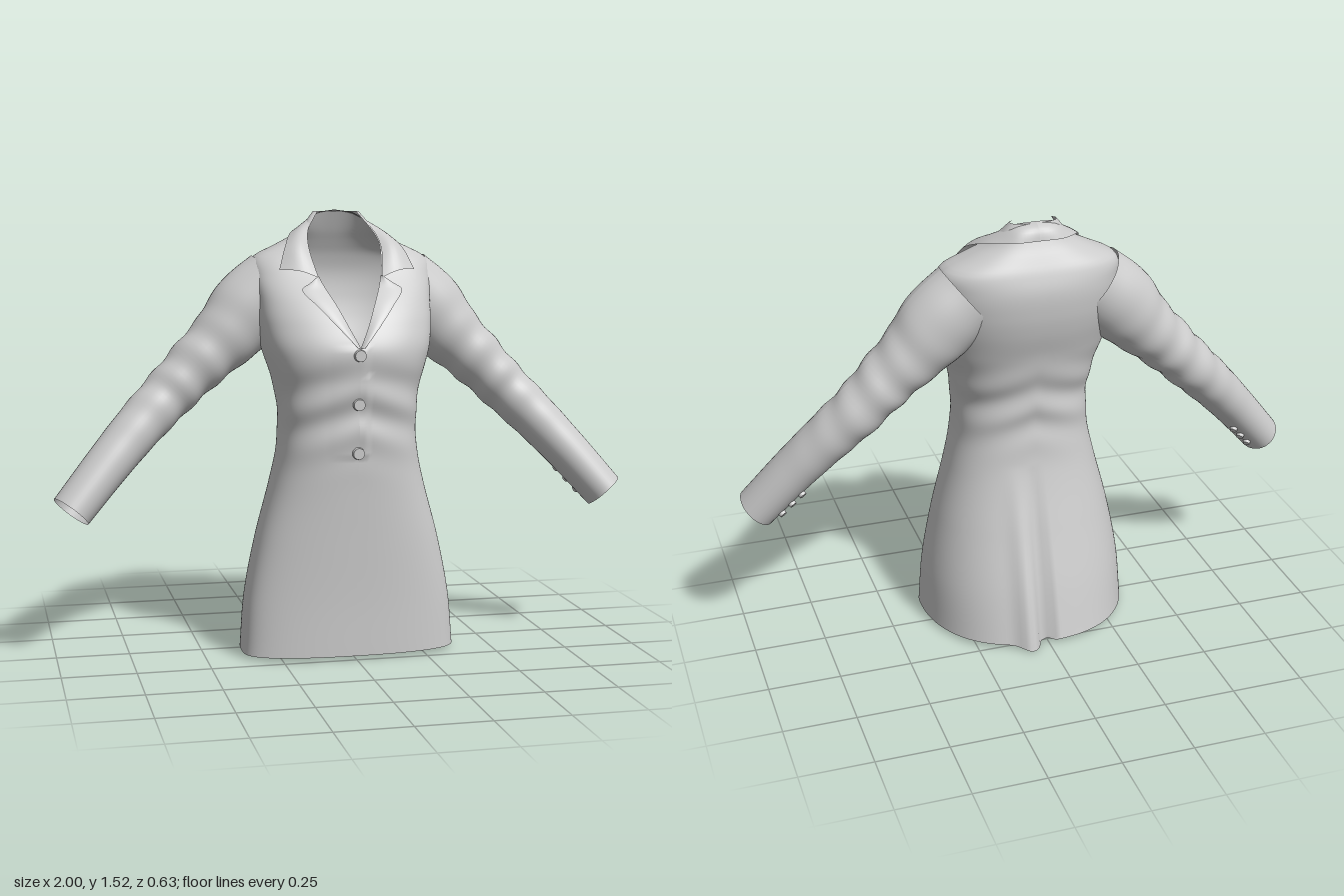
import * as THREE from 'three';

const material = new THREE.MeshStandardMaterial({ color: 0xcccccc, side: THREE.DoubleSide });
const gauss = (d, s) => Math.exp(-(d * d) / (s * s));

// Smooth lookup in rows of [key, value, value, ...]
function sample(table, key, col) {
  const n = table.length - 1;
  let i = 0;
  while (i < n - 1 && key > table[i + 1][0]) i++;
  const slope = (k) => {
    const a = table[Math.max(k - 1, 0)], b = table[Math.min(k + 1, n)];
    return (b[col] - a[col]) / (b[0] - a[0]);
  };
  const [a, b] = [table[i], table[i + 1]];
  const h = b[0] - a[0];
  const t = THREE.MathUtils.clamp((key - a[0]) / h, 0, 1), t2 = t * t, t3 = t2 * t;
  return a[col] * (2 * t3 - 3 * t2 + 1) + b[col] * (3 * t2 - 2 * t3)
    + h * (slope(i) * (t3 - 2 * t2 + t) + slope(i + 1) * (t3 - t2));
}

// Surface from point(u, v): v runs along the rows, u across them
function sheet(name, point, rows, cols, flip = false) {
  const pos = [], idx = [];
  for (let i = 0; i <= rows; i++)
    for (let j = 0; j <= cols; j++) pos.push(...point(j / cols, i / rows));
  for (let i = 0; i < rows; i++)
    for (let j = 0; j < cols; j++) {
      const a = i * (cols + 1) + j, b = a + 1, c = b + cols + 1, d = c - 1;
      if (flip) idx.push(a, c, b, a, d, c);
      else idx.push(a, b, c, a, c, d);
    }
  const g = new THREE.BufferGeometry();
  g.setAttribute('position', new THREE.Float32BufferAttribute(pos, 3));
  g.setIndex(idx);
  g.computeVertexNormals();
  const mesh = new THREE.Mesh(g, material);
  mesh.name = name;
  return mesh;
}

// Body sections: height, half width, front z, back z, z of widest point
const body = [
  [0.015, 0.372, 0.248, -0.285, 0.09], [0.2, 0.357, 0.25, -0.24, 0.08],
  [0.4, 0.318, 0.258, -0.185, 0.07], [0.6, 0.265, 0.268, -0.135, 0.06],
  [0.72, 0.24, 0.275, -0.118, 0.06], [0.85, 0.236, 0.28, -0.115, 0.06],
  [0.95, 0.252, 0.288, -0.13, 0.05], [1.06, 0.285, 0.298, -0.155, 0.03],
  [1.15, 0.3, 0.262, -0.182, 0], [1.22, 0.305, 0.215, -0.196, -0.02],
  [1.3, 0.312, 0.14, -0.2, -0.03], [1.365, 0.3, 0.085, -0.185, -0.045],
  [1.41, 0.215, 0.05, -0.165, -0.05], [1.45, 0.142, 0.01, -0.145, -0.06],
  [1.52, 0.08, -0.06, -0.115, -0.085],
];
// Neck opening: height, half gap
const neck = [[1.07, 0], [1.13, 0.03], [1.2, 0.062], [1.3, 0.108], [1.4, 0.126], [1.45, 0.115], [1.52, 0.068]];
const gap = (y) => (y <= 1.07 ? 0 : Math.max(0, sample(neck, y, 1)));
const XP = 0.85, FRONT = 0.62, BACK = 0.95;

function frontZ(x, y) {
  const s = Math.min(1, Math.abs(x) / sample(body, y, 1)) ** (1 / XP);
  const zc = sample(body, y, 4);
  return zc + (sample(body, y, 2) - zc) * Math.sqrt(1 - s * s) ** FRONT;
}

function bodyPoint(u, v) {
  let y = 0.015 + v * 1.505;
  const w = sample(body, y, 1), zc = sample(body, y, 4);
  const start = Math.asin(Math.min(0.99, gap(y) / w) ** (1 / XP));
  const a = start + u * (2 * Math.PI - 2 * start);
  const s = Math.sin(a), c = Math.cos(a);
  const x = w * Math.sign(s) * Math.abs(s) ** XP;
  let z = c > 0 ? zc + (sample(body, y, 2) - zc) * c ** FRONT
    : zc + (sample(body, y, 3) - zc) * (-c) ** BACK;
  // soft drag folds at the waist
  z += 0.007 * Math.sin(y * 42 + Math.abs(x) * 16) * gauss(y - 0.86, 0.13);
  if (c < 0) {
    // back vent: one edge sinks, the other kicks out
    const k = Math.max(0, 1 - y / 0.64);
    z += k * (0.05 * gauss(x - 0.012, 0.016) - 0.035 * gauss(x - 0.075, 0.035));
    y -= 0.015 * k ** 6 * gauss(x - 0.06, 0.05);
  } else if (y > 0.7 && y < 1.07 && x < 0.03 && x > -0.1) {
    z += 0.007 * (x + 0.1) / 0.13; // overlapping front edge
  }
  return [x, y, z];
}

// Sleeve: centre line, then [t, in-plane radius, depth radius]
const sleeveLine = new THREE.CatmullRomCurve3([
  [0.22, 1.265, -0.045], [0.3, 1.2, -0.045], [0.4, 1.095, -0.04], [0.5, 1.0, -0.035],
  [0.6, 0.9, -0.03], [0.71, 0.79, 0.0], [0.82, 0.67, 0.04], [0.945, 0.525, 0.085],
].map((p) => new THREE.Vector3(...p)));
const sleeveSize = [[0, 0.135, 0.125], [0.13, 0.135, 0.12], [0.28, 0.108, 0.105],
  [0.45, 0.092, 0.095], [0.6, 0.085, 0.09], [0.8, 0.077, 0.086], [1, 0.071, 0.084]];

function sleevePoint(t, angle, lift = 0) {
  const p = sleeveLine.getPointAt(t), T = sleeveLine.getTangentAt(t);
  const U = new THREE.Vector3(-T.y, T.x, 0).normalize(), V = new THREE.Vector3().crossVectors(T, U);
  const fold = 1 + 0.04 * Math.sin(t * 55 + 2 * Math.sin(angle)) * gauss(t - 0.42, 0.2);
  const c = Math.cos(angle), s = Math.sin(angle);
  return p.addScaledVector(U, (sample(sleeveSize, t, 1) * fold + lift) * c)
    .addScaledVector(V, (sample(sleeveSize, t, 2) * fold + lift) * s);
}

function button(name, position, normal, radius) {
  const mesh = new THREE.Mesh(new THREE.CylinderGeometry(radius * 0.9, radius, 0.014, 20), material);
  mesh.name = name;
  mesh.position.copy(position);
  mesh.quaternion.setFromUnitVectors(new THREE.Vector3(0, 1, 0), normal);
  return mesh;
}

// Lapel outer edge: height, x
const lapelEdge = [[1.075, 0.012], [1.15, 0.078], [1.21, 0.13], [1.262, 0.172], [1.285, 0.14], [1.305, 0.113]];
// Collar edges from the front point to the centre back
const curve = (pts) => new THREE.CatmullRomCurve3(pts.map((p) => new THREE.Vector3(...p)));
const collarIn = curve([[0.11, 1.3, 0.15], [0.126, 1.4, 0.065], [0.112, 1.46, -0.01],
  [0.066, 1.512, -0.085], [0, 1.525, -0.11]]);
const collarOut = curve([[0.235, 1.325, 0.1], [0.205, 1.4, 0.045], [0.158, 1.452, -0.07],
  [0.085, 1.468, -0.145], [0, 1.472, -0.158]]);

export function createModel() {
  const coat = new THREE.Group();
  coat.name = 'coat';
  coat.add(sheet('body', bodyPoint, 130, 160));

  for (const side of [1, -1]) {
    const label = side > 0 ? 'left' : 'right', flip = side < 0;
    coat.add(sheet(label + 'Sleeve', (u, v) => {
      const p = sleevePoint(v, u * 2 * Math.PI);
      return [side * p.x, p.y, p.z];
    }, 70, 40, flip));

    coat.add(sheet(label + 'Lapel', (u, v) => {
      const y = 1.075 + v * 0.23, inner = gap(y) - 0.003;
      const x = inner + u * Math.max(0.003, sample(lapelEdge, y, 1) - inner);
      return [side * x, y, frontZ(x, y) + 0.006 + 0.012 * Math.sin(u * 2)];
    }, 40, 10, flip));

    coat.add(sheet(label + 'Collar', (u, v) => {
      const p = collarIn.getPoint(v).lerp(collarOut.getPoint(v), u);
      const puff = 0.018 * Math.sin(Math.PI * u); // roll of the fold
      const back = THREE.MathUtils.smoothstep(v, 0.3, 0.9);
      return [side * p.x, p.y + puff * 0.6, p.z + puff * (0.7 - 1.3 * back)];
    }, 30, 8, flip));

    // cuff buttons on the rear underside
    for (let i = 0; i < 3; i++) {
      const t = 0.84 + i * 0.05, angle = Math.PI * 1.22;
      const p = sleevePoint(t, angle, 0.004);
      const n = sleevePoint(t, angle, 0.1).sub(p).normalize();
      p.x *= side;
      n.x *= side;
      coat.add(button(label + 'CuffButton', p, n, 0.014));
    }
  }

  for (const y of [1.05, 0.885, 0.72])
    coat.add(button('frontButton', new THREE.Vector3(-0.003, y, frontZ(0, y) + 0.012),
      new THREE.Vector3(0, 0, 1), 0.021));
  return coat;
}
